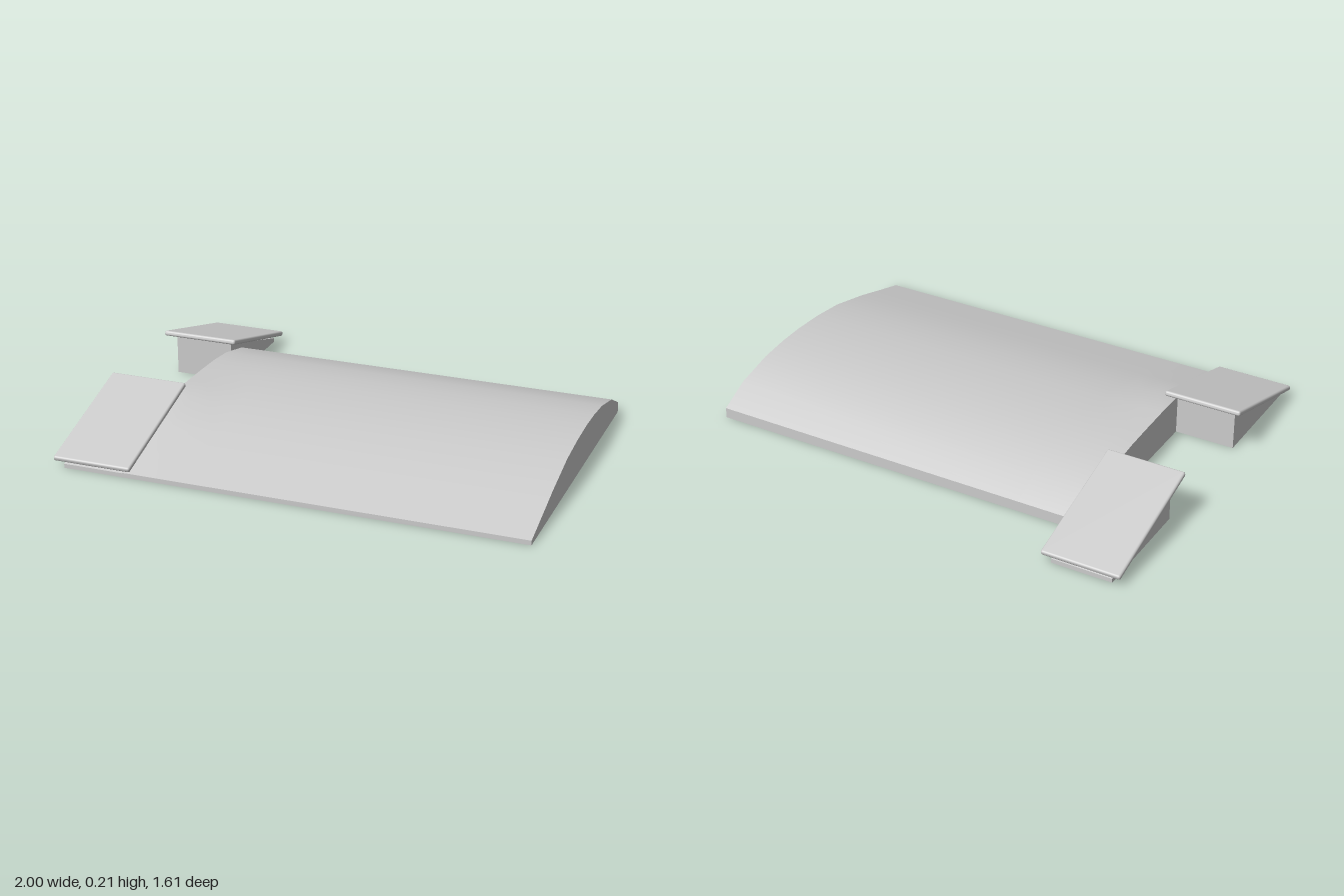
import * as THREE from 'three';
import { toCreasedNormals } from 'three/addons/utils/BufferGeometryUtils.js';
import { RoundedBoxGeometry } from 'three/addons/geometries/RoundedBoxGeometry.js';

const grey = new THREE.MeshStandardMaterial({ color: 0xcccccc });

// Lofts [z, y] rings along x; each ring runs from +z over the top to -z.
function loft(stations) {
  const n = stations[0].ring.length;
  const pos = [], index = [];
  for (const { x, ring } of stations) {
    for (const [z, y] of ring) pos.push(x, y, z);
    pos.push(x, 0, (ring[0][0] + ring[n - 1][0]) / 2); // cap centre
  }
  const row = n + 1, last = (stations.length - 1) * row;
  for (let i = 0; i < stations.length - 1; i++) {
    for (let j = 0; j < n; j++) {
      const k = (j + 1) % n;
      const a = i * row + j, b = i * row + k, c = a + row, d = b + row;
      index.push(a, c, b, b, c, d);
    }
  }
  for (let j = 0; j < n - 1; j++) {
    index.push(n, j, j + 1, last + n, last + j + 1, last + j);
  }
  const g = new THREE.BufferGeometry();
  g.setAttribute('position', new THREE.Float32BufferAttribute(pos, 3));
  g.setIndex(index);
  return toCreasedNormals(g, 0.4);
}

function part(name, geometry) {
  const mesh = new THREE.Mesh(geometry, grey);
  mesh.name = name;
  return mesh;
}

export function createModel() {
  const model = new THREE.Group();
  model.name = 'archedRamp';

  // Arched body; the front slope straightens towards the wedges at -x
  const arch = [
    [0.79, 0.02], [0.65, 0.058], [0.5, 0.1], [0.3, 0.145], [0.15, 0.161],
    [0, 0.167], [-0.12, 0.163], [-0.25, 0.15], [-0.42, 0.11], [-0.55, 0.045],
  ];
  const straight = [0.02, 0.063, 0.11, 0.172, 0.172, 0.168, 0.163, 0.15, 0.11, 0.045];
  const section = (t) => [
    [0.79, 0],
    ...arch.map(([z, y], i) => [z, THREE.MathUtils.lerp(y, straight[i], t)]),
    [-0.55, 0],
  ];
  model.add(part('archedBody', loft(
    [[-0.7, 1], [-0.62, 0.8], [-0.53, 0.4], [-0.42, 0], [1, 0]]
      .map(([x, t]) => ({ x, ring: section(t) })),
  )));

  // Matching wedge and sloping plate at the front and back
  const wedge = [[0.79, 0], [0.79, 0.018], [0.3, 0.172], [0.3, 0]];
  for (const [side, s] of [['front', 1], ['back', -1]]) {
    const ring = wedge.map(([z, y]) => [z * s, y]);
    if (s < 0) ring.reverse();
    model.add(part(side + 'Wedge', loft([{ x: -0.96, ring }, { x: -0.7, ring }])));

    const plate = part(side + 'Plate', new RoundedBoxGeometry(0.34, 0.022, 0.575, 3, 0.009));
    plate.position.set(-0.83, 0.12, 0.53 * s);
    plate.rotation.x = 0.28 * s;
    model.add(plate);
  }
  return model;
}
